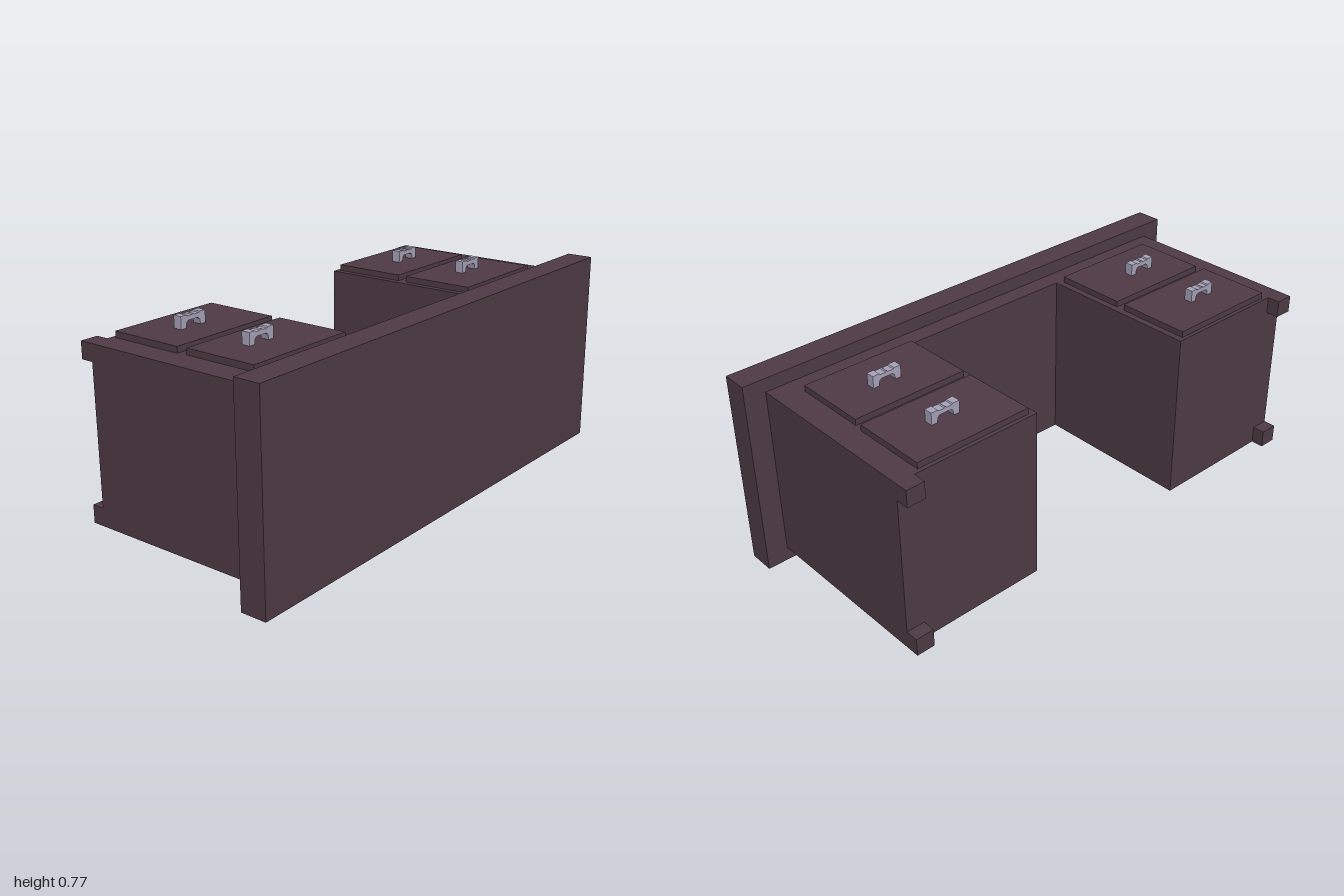
import * as THREE from 'three';

const wood = new THREE.MeshStandardMaterial({ color: 0x4f3b45 });
wood.name = 'dark wood';
const metal = new THREE.MeshStandardMaterial({ color: 0xa8a5bb });
metal.name = 'pale metal';

// Box given by its limits on each axis
function box(name, [x0, x1], [y0, y1], [z0, z1]) {
  const mesh = new THREE.Mesh(new THREE.BoxGeometry(x1 - x0, y1 - y0, z1 - z0), wood);
  mesh.position.set((x0 + x1) / 2, (y0 + y1) / 2, (z0 + z1) / 2);
  mesh.name = name;
  return mesh;
}

// Bracket handle: two legs and a bar with a stepped underside
function handleGeometry() {
  const w = 0.057, h = 0.046, depth = 0.033;
  const half = [[w, 0], [w, h], [0.03, h], [0.027, h - 0.004], [0.004, h - 0.004], [0.001, h]];
  const under = [[0.022, 0.026], [0.03, 0.02], [0.034, 0]];
  const mirror = (pts) => pts.map(([x, y]) => [-x, y]).reverse();
  const outline = [...half, ...mirror(half), ...mirror(under).map((p) => p), ...under];
  const shape = new THREE.Shape(outline.map(([x, y]) => new THREE.Vector2(x, y)));
  const geo = new THREE.ExtrudeGeometry(shape, { depth, bevelEnabled: false });
  return geo.translate(0, 0, -depth / 2);
}

export function createModel() {
  const group = new THREE.Group();

  // Desk lying on the long edge of its top, with the top facing forward
  group.add(box('deskTop', [-1, 1], [0, 0.758], [0.327, 0.428]));
  group.add(box('modestyPanel', [-0.348, 0.348], [0.053, 0.707], [0.258, 0.327]));

  const handleGeo = handleGeometry();
  for (const s of [-1, 1]) {
    const side = s > 0 ? 'left' : 'right';
    const span = (a, b) => (s > 0 ? [a, b] : [-b, -a]);
    group.add(box(side + 'Pedestal', span(0.348, 0.918), [0.053, 0.707], [-0.379, 0.327]));

    // Feet at the outer corners
    for (const y of [[0.053, 0.121], [0.643, 0.707]]) {
      group.add(box(side + 'Foot', span(0.848, 0.918), y, [-0.428, -0.379]));
    }

    // Drawer fronts and their handles
    const drawers = [
      { z: [-0.364, -0.077], outer: 0.825, grip: -0.217 },
      { z: [-0.042, 0.243], outer: 0.819, grip: 0.087 },
    ];
    for (const { z, outer, grip } of drawers) {
      group.add(box(side + 'Drawer', span(0.373, outer), [0.707, 0.73], z));
      const handle = new THREE.Mesh(handleGeo, metal);
      handle.name = side + 'Handle';
      handle.position.set(s > 0 ? 0.607 : -0.627, 0.729, grip);
      group.add(handle);
    }
  }
  return group;
}
